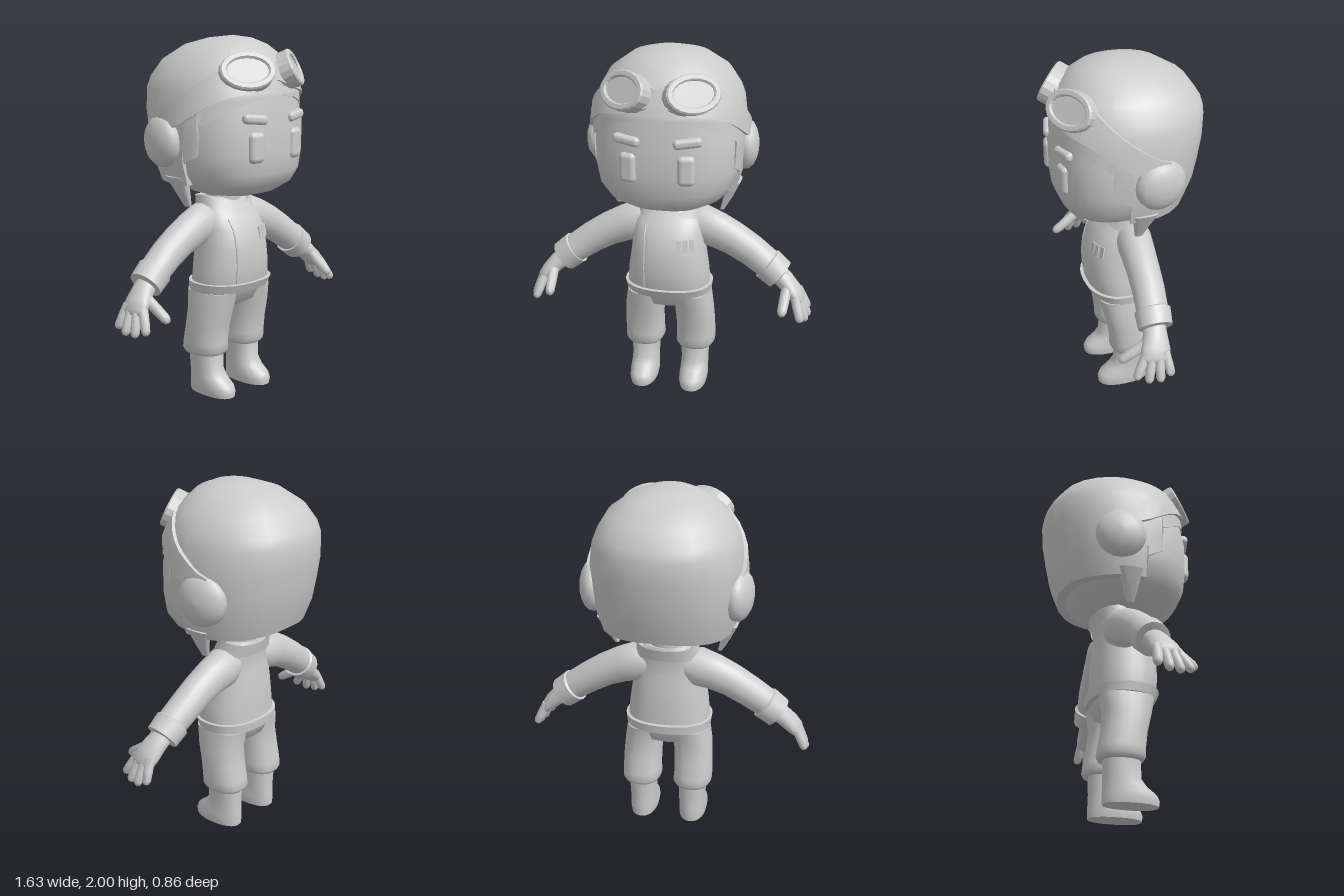
import * as THREE from 'three';
import { toCreasedNormals } from 'three/addons/utils/BufferGeometryUtils.js';
import { RoundedBoxGeometry } from 'three/addons/geometries/RoundedBoxGeometry.js';

const V = (x, y, z) => new THREE.Vector3(x, y, z);
const RAD = Math.PI / 180;

// Cross-sections are rows of [centre x, y, centre z, half width, half depth].
const HELMET = [
  [0, 1.2, 0.02, 0.36, 0.33], [0, 1.25, 0.02, 0.385, 0.35], [0, 1.35, 0.01, 0.405, 0.38],
  [0, 1.55, -0.005, 0.42, 0.405], [0, 1.7, -0.02, 0.405, 0.41], [0, 1.78, -0.02, 0.375, 0.385],
  [0, 1.87, -0.005, 0.32, 0.335], [0, 1.95, 0.01, 0.21, 0.225], [0, 1.985, 0.04, 0.11, 0.12], [0, 2, 0.06, 0, 0],
];
const HEAD = [
  [0, 1.14, 0.06, 0.12, 0.14], [0, 1.16, 0.065, 0.22, 0.21], [0, 1.21, 0.055, 0.315, 0.295],
  [0, 1.28, 0.04, 0.37, 0.34], [0, 1.38, 0.04, 0.388, 0.35], [0, 1.55, 0.035, 0.39, 0.355], [0, 1.74, 0.02, 0.35, 0.34],
];
const TORSO = [
  [0, 0.6, 0.03, 0.23, 0.165], [0, 0.65, 0.04, 0.235, 0.175], [0, 0.75, 0.045, 0.225, 0.178],
  [0, 0.85, 0.045, 0.21, 0.175], [0, 0.95, 0.04, 0.2, 0.155], [0, 1.02, 0.02, 0.19, 0.13],
  [0, 1.08, -0.015, 0.16, 0.11], [0, 1.12, -0.02, 0.12, 0.09],
];
// Lower edge of the helmet as [angle from the front, y]
const HELMET_EDGE = [[0, 1.695], [20, 1.675], [40, 1.63], [55, 1.575], [66, 1.54], [67, 1.39], [81, 1.34], [82, 1.22], [125, 1.22], [180, 1.245]];

// Linear look-up in rows sorted by the value in column key
function lookup(rows, key, value) {
  let i = 0;
  while (i < rows.length - 2 && rows[i + 1][key] < value) i++;
  const t = THREE.MathUtils.clamp((value - rows[i][key]) / (rows[i + 1][key] - rows[i][key]), 0, 1);
  return rows[i].map((v, k) => v + (rows[i + 1][k] - v) * t);
}

const power = (v, p) => Math.sign(v) * Math.abs(v) ** (2 / p);

// Point on a level superellipse ring; angle 0 is the front, 90 degrees is +x
function ringPoint([x, y, z, a, b], angle, p) {
  return V(x + a * power(Math.sin(angle), p), y, z + b * power(Math.cos(angle), p));
}

function frontZ(rows, x, y, p) {
  const [, , z, a, b] = lookup(rows, 1, y);
  return z + b * (1 - Math.abs(x / a) ** p) ** (1 / p);
}

// Skin over rows of points, optionally closed around and capped
function skin(rows, { closed = true, caps = true, crease = 55 } = {}) {
  const n = rows[0].length, points = rows.flat(), index = [];
  for (let i = 0; i < rows.length - 1; i++) {
    for (let j = 0; j < (closed ? n : n - 1); j++) {
      const k = (j + 1) % n, a = i * n + j, b = i * n + k;
      index.push(a, b, b + n, a, b + n, a + n);
    }
  }
  if (caps) {
    for (const r of [0, rows.length - 1]) {
      const c = points.length;
      points.push(rows[r].reduce((s, q) => s.add(q), V(0, 0, 0)).divideScalar(n));
      for (let j = 0; j < n; j++) {
        const a = r * n + j, b = r * n + (j + 1) % n;
        if (r) index.push(a, b, c); else index.push(b, a, c);
      }
    }
  }
  const g = new THREE.BufferGeometry().setFromPoints(points);
  g.setIndex(index);
  return toCreasedNormals(g, crease * RAD);
}

// Level rings stacked upwards
function loft(rows, p = 2.2, n = 28, options) {
  return skin(rows.map(r => Array.from({ length: n }, (_, j) => ringPoint(r, j / n * Math.PI * 2, p))), options);
}

// Rings square to a path; the last two numbers of a row are thickness and spread in z
function sweep(rows, n = 16, options) {
  return skin(rows.map((r, i) => {
    const c = V(r[0], r[1], r[2]);
    const p0 = rows[Math.max(i - 1, 0)], p1 = rows[Math.min(i + 1, rows.length - 1)];
    const t = V(p1[0] - p0[0], p1[1] - p0[1], p1[2] - p0[2]).normalize();
    const u = V(0, 0, 1).cross(t).normalize(), v = t.clone().cross(u);
    return Array.from({ length: n }, (_, j) => {
      const w = j / n * Math.PI * 2;
      return c.clone().addScaledVector(u, r[3] * Math.cos(w)).addScaledVector(v, r[4] * Math.sin(w));
    });
  }), options);
}

function mirrored(geometry) {
  const g = geometry.clone().scale(-1, 1, 1);
  const index = g.index ? Array.from(g.index.array) : Array.from({ length: g.attributes.position.count }, (_, i) => i);
  for (let i = 0; i < index.length; i += 3) [index[i + 1], index[i + 2]] = [index[i + 2], index[i + 1]];
  g.setIndex(index);
  return g;
}

// Tapered finger with a rounded tip
function finger(from, to, r) {
  const a = V(...from), b = V(...to);
  return sweep([[0, 1], [0.5, 1], [0.85, 0.92], [0.96, 0.65], [1, 0.3]].map(([t, s]) => [...a.clone().lerp(b, t).toArray(), r * s, r * s]), 10, { crease: 75 });
}

export function createModel() {
  const model = new THREE.Group();
  const grey = new THREE.MeshStandardMaterial({ color: 0xcccccc, side: THREE.DoubleSide });
  grey.name = 'lightGrey';
  const add = (name, geometry) => {
    const mesh = new THREE.Mesh(geometry, grey);
    mesh.name = name;
    model.add(mesh);
  };
  const pair = (name, geometry) => {
    add(name + 'Left', geometry);
    add(name + 'Right', mirrored(geometry));
  };

  // Head and face
  add('head', loft(HEAD, 2.5, 40));
  add('neck', loft([[0, 1.03, -0.01, 0.1, 0.09], [0, 1.18, -0.01, 0.1, 0.1]]));
  pair('eye', new RoundedBoxGeometry(0.095, 0.165, 0.06, 4, 0.029).rotateY(0.2).translate(0.152, 1.43, frontZ(HEAD, 0.152, 1.43, 2.5) - 0.01));
  const brow = new RoundedBoxGeometry(0.15, 0.052, 0.06, 4, 0.022, 8);
  pair('eyebrow', brow.rotateZ(0.1).rotateY(0.25).translate(0.158, 1.578, frontZ(HEAD, 0.158, 1.578, 2.5) - 0.008));

  // Helmet shell with a stepped lower edge and a turned-in rim
  const half = [0, 10, 20, 30, 40, 48, 55, 61, 66, 67, 74, 81, 82, 92, 105, 120, 135, 150, 165];
  const angles = [...half, 180, ...half.slice(1).reverse().map(a => 360 - a)];
  const edge = a => lookup(HELMET_EDGE, 0, a > 180 ? 360 - a : a)[1];
  const helmetPoint = (a, y, out = 0) => {
    const r = lookup(HELMET, 1, y);
    return ringPoint([r[0], y, r[2], Math.max(r[3] + out, 0), Math.max(r[4] + out, 0)], a * RAD, 2.2);
  };
  const shell = [angles.map(a => helmetPoint(a, edge(a), -0.06))];
  for (const t of [0, 0.25, 0.5, 0.75, 1]) shell.push(angles.map(a => helmetPoint(a, edge(a) + (1.72 - edge(a)) * t)));
  for (const y of [1.78, 1.87, 1.95, 1.985, 2]) shell.push(angles.map(a => helmetPoint(a, y)));
  add('helmet', skin(shell, { caps: false, crease: 50 }));
  pair('chinStrap', loft([[0.293, 1.09, 0.005, 0.012, 0.02], [0.325, 1.17, 0, 0.026, 0.04], [0.362, 1.26, -0.01, 0.032, 0.068]], 4, 16, { crease: 35 }));

  // Ear cups
  const cup = [[0.115, -0.07], [0.14, -0.01], [0.137, 0.02], [0.115, 0.045], [0.08, 0.063], [0.04, 0.073], [0, 0.076]];
  pair('earCup', new THREE.LatheGeometry(cup.map(q => new THREE.Vector2(...q)), 28).rotateZ(-Math.PI / 2).rotateY(0.17).translate(0.4, 1.45, -0.075));

  // Goggles: wrapped strap, oval frames and lenses
  const band = [[0, 1.775, 1.845], [12, 1.74, 1.87], [25, 1.715, 1.89], [45, 1.69, 1.875], [60, 1.64, 1.8], [80, 1.55, 1.69], [100, 1.49, 1.58]];
  const bandAngles = Array.from({ length: 27 }, (_, i) => -104 + i * 8);
  const bandRow = (t, out) => bandAngles.map(a => {
    const [, low, high] = lookup(band, 0, Math.abs(a));
    return helmetPoint(a, low + (high - low) * t, out);
  });
  add('goggleStrap', skin([bandRow(0, -0.01), bandRow(0, 0.018), bandRow(0.5, 0.018), bandRow(1, 0.018), bandRow(1, -0.01)], { closed: false, caps: false, crease: 40 }));
  const place = g => g.rotateX(-0.44).rotateY(0.57).translate(0.182, 1.828, 0.335);
  const frame = new THREE.Shape().absellipse(0, 0, 0.142, 0.098, 0, Math.PI * 2);
  frame.holes.push(new THREE.Path().absellipse(0, 0, 0.12, 0.076, 0, Math.PI * 2, true));
  pair('goggleFrame', place(new THREE.ExtrudeGeometry(frame, { depth: 0.08, curveSegments: 10, bevelSize: 0.008, bevelThickness: 0.008, bevelSegments: 1 }).translate(0, 0, -0.07)));
  pair('goggleLens', place(new THREE.CircleGeometry(1, 24).scale(0.122, 0.078, 1).translate(0, 0, 0.004)));

  // Jacket: body, collar, front seam and chest patch
  add('jacketBody', loft(TORSO, 2.3, 32));
  const collar = [[0, 1.045, 0, 0.185, 0.125], [0, 1.135, -0.02, 0.17, 0.122], [0, 1.125, -0.02, 0.15, 0.108], [0, 1.05, -0.01, 0.1, 0.09]];
  add('collar', skin(collar.map((r, i) => Array.from({ length: 28 }, (_, j) => {
    const w = j / 28 * Math.PI * 2, q = ringPoint(r, w, 2.2);
    if (i === 1 || i === 2) q.y -= Math.max(Math.cos(w), 0) ** 2 * 0.07 + Math.max(-Math.cos(w), 0) * 0.02;
    return q;
  })), { caps: false }));
  const seam = [0.65, 0.75, 0.85, 0.95, 1.01].map(y => V(-0.115, y, frontZ(TORSO, -0.115, y, 2.3)));
  add('jacketSeam', new THREE.TubeGeometry(new THREE.CatmullRomCurve3(seam), 16, 0.005, 6));
  for (let i = 0; i < 3; i++) {
    const x = 0.08 + i * 0.034;
    add('chestPatch' + (i + 1), new THREE.BoxGeometry(0.029, 0.07, 0.009).rotateX(-0.17).rotateY(0.28).translate(x, 0.915, frontZ(TORSO, x, 0.915, 2.3)));
  }
  add('belt', loft([[0, 0.597, 0.03, 0.232, 0.165], [0, 0.602, 0.03, 0.243, 0.18], [0, 0.652, 0.04, 0.25, 0.195], [0, 0.655, 0.04, 0.225, 0.165]], 2.3, 32, { crease: 35 }));

  // Sleeves, cuffs and hands
  pair('sleeve', sweep([[0.1, 0.995, -0.01, 0.085, 0.085], [0.17, 0.982, -0.01, 0.115, 0.1], [0.26, 0.955, -0.005, 0.105, 0.094], [0.36, 0.91, 0, 0.096, 0.09], [0.46, 0.85, 0.005, 0.09, 0.088], [0.58, 0.765, 0.018, 0.083, 0.085]], 20));
  pair('cuff', sweep([[0.55, 0.783, 0.015, 0.08, 0.08], [0.555, 0.78, 0.015, 0.095, 0.098], [0.628, 0.722, 0.022, 0.09, 0.093], [0.632, 0.719, 0.022, 0.06, 0.065]], 20, { crease: 35 }));
  pair('palm', sweep([[0.61, 0.735, 0.025, 0.055, 0.06], [0.66, 0.695, 0.035, 0.052, 0.066], [0.71, 0.645, 0.05, 0.045, 0.08], [0.745, 0.605, 0.06, 0.034, 0.078], [0.755, 0.59, 0.062, 0.02, 0.06]], 18, { crease: 75 }));
  const fingers = [
    [[0.725, 0.625, 0.112], [0.765, 0.51, 0.175]], [[0.74, 0.62, 0.082], [0.788, 0.49, 0.112]],
    [[0.742, 0.625, 0.04], [0.8, 0.492, 0.05]], [[0.735, 0.64, 0.008], [0.795, 0.515, -0.012]],
  ];
  fingers.forEach(([from, to], i) => pair('finger' + (i + 1), finger(from, to, 0.026)));
  pair('thumb', finger([0.675, 0.675, 0.075], [0.662, 0.57, 0.235], 0.029));

  // Trousers and boots
  add('trouserSeat', loft([[0, 0.495, 0.02, 0.06, 0.07], [0, 0.53, 0.025, 0.17, 0.13], [0, 0.62, 0.03, 0.235, 0.165]], 2.3, 28));
  pair('trouserLeg', loft([[0.15, 0.232, -0.01, 0.085, 0.1], [0.15, 0.235, -0.01, 0.1, 0.118], [0.15, 0.255, -0.008, 0.112, 0.13], [0.152, 0.3, -0.005, 0.11, 0.127], [0.15, 0.4, 0.01, 0.109, 0.124], [0.143, 0.5, 0.027, 0.109, 0.132], [0.13, 0.6, 0.03, 0.107, 0.152]], 2.4, 24));
  pair('boot', loft([[0.147, 0, 0.045, 0.076, 0.15], [0.147, 0.03, 0.046, 0.081, 0.153], [0.147, 0.06, 0.04, 0.08, 0.146], [0.147, 0.1, 0.014, 0.078, 0.118], [0.147, 0.14, 0, 0.077, 0.102], [0.148, 0.25, -0.005, 0.083, 0.101]], 2.3, 24));

  return model;
}
